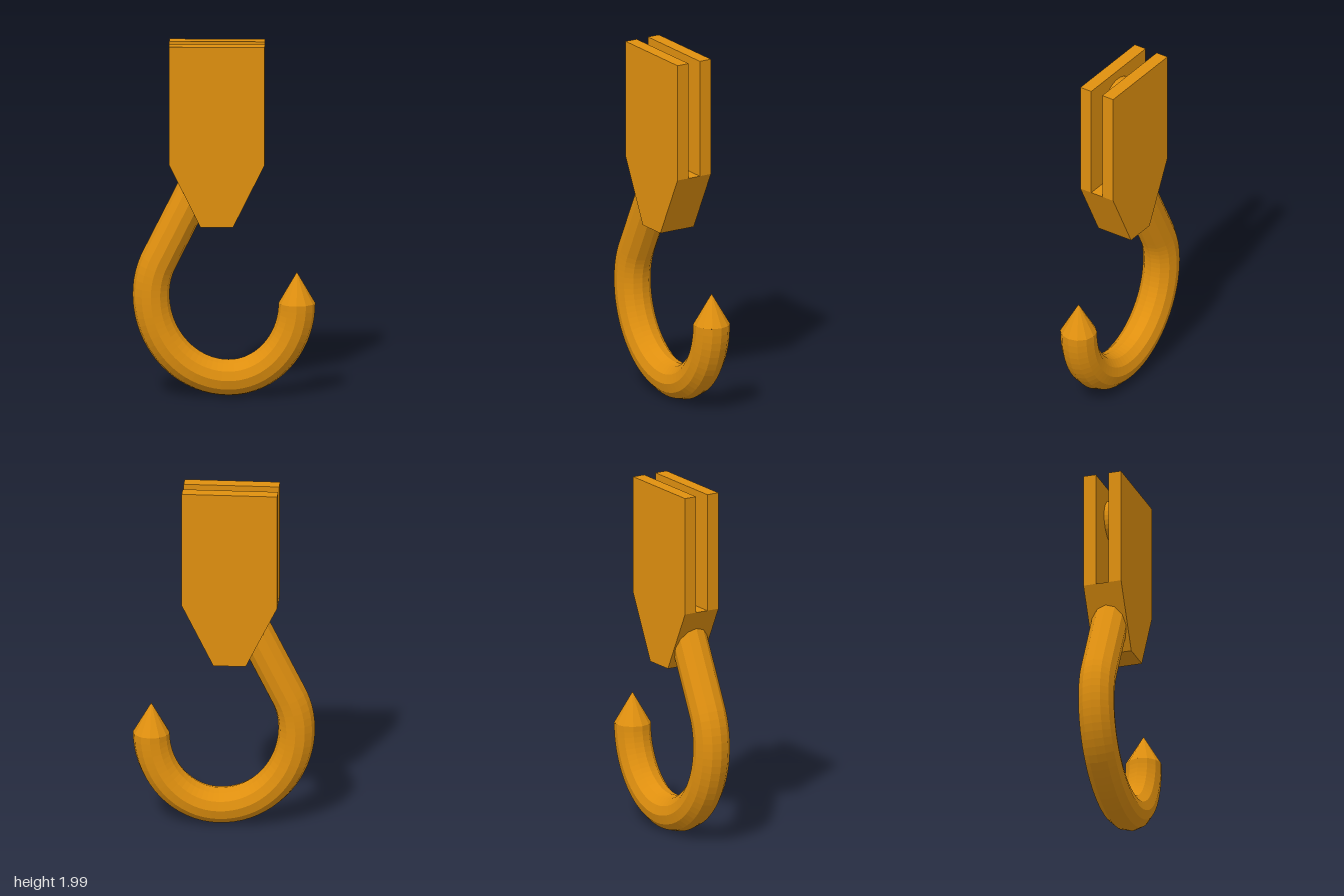
import * as THREE from 'three';

const orange = new THREE.MeshStandardMaterial({ color: 0xe0900f, flatShading: true });
orange.name = 'safety orange';

function addMesh(group, name, geometry) {
  const mesh = new THREE.Mesh(geometry, orange);
  mesh.name = name;
  group.add(mesh);
  return mesh;
}

// Extrudes an outline in the xy plane from z0 to z1
function plate(points, z0, z1) {
  const shape = new THREE.Shape(points.map(([x, y]) => new THREE.Vector2(x, y)));
  return new THREE.ExtrudeGeometry(shape, { depth: z1 - z0, bevelEnabled: false }).translate(0, 0, z0);
}

// Centre line of the hook: straight shank, shoulder, then a round bowl
class HookCurve extends THREE.CurvePath {
  constructor() {
    super();
    const v = (x, y) => new THREE.Vector3(x, y, 0);
    const k = 0.5523; // quarter-ellipse handle length
    const left = v(-0.405, 0.58), bottom = v(0.025, 0.107), right = v(0.402, 0.53);
    this.add(new THREE.LineCurve3(v(-0.12, 1.255), v(-0.36, 0.775)));
    this.add(new THREE.QuadraticBezierCurve3(v(-0.36, 0.775), v(-0.405, 0.685), left));
    this.add(new THREE.CubicBezierCurve3(left, v(left.x, left.y - 0.473 * k),
      v(bottom.x - 0.43 * k, bottom.y), bottom));
    this.add(new THREE.CubicBezierCurve3(bottom, v(bottom.x + 0.377 * k, bottom.y),
      v(right.x, right.y - 0.423 * k), right));
  }
}

export function createModel() {
  const model = new THREE.Group();
  model.name = 'craneHook';

  // Tapered block: two cheeks with a solid web below the slot
  const taper = [[-0.305, 1.333], [-0.13, 0.98], [0.05, 0.98], [0.225, 1.333]];
  const cheek = [...taper, [0.225, 2], [-0.305, 2]];
  const block = new THREE.Group();
  block.name = 'block';
  model.add(block);
  addMesh(block, 'frontCheek', plate(cheek, 0.037, 0.11));
  addMesh(block, 'backCheek', plate(cheek, -0.11, -0.037));
  addMesh(block, 'web', plate(taper, -0.037, 0.037));

  // Pulley wheel held between the cheeks
  const wheel = addMesh(block, 'pulleyWheel', new THREE.CylinderGeometry(0.133, 0.133, 0.074, 32));
  wheel.rotation.x = Math.PI / 2;
  wheel.position.set(-0.033, 1.813, 0);

  // Hook bar and its pointed tip
  const curve = new HookCurve();
  addMesh(model, 'hookBar', new THREE.TubeGeometry(curve, 56, 0.102, 12, false));
  const tip = addMesh(model, 'hookTip', new THREE.ConeGeometry(0.102, 0.175, 12));
  tip.position.set(0.402, 0.6175, 0);

  return model;
}
